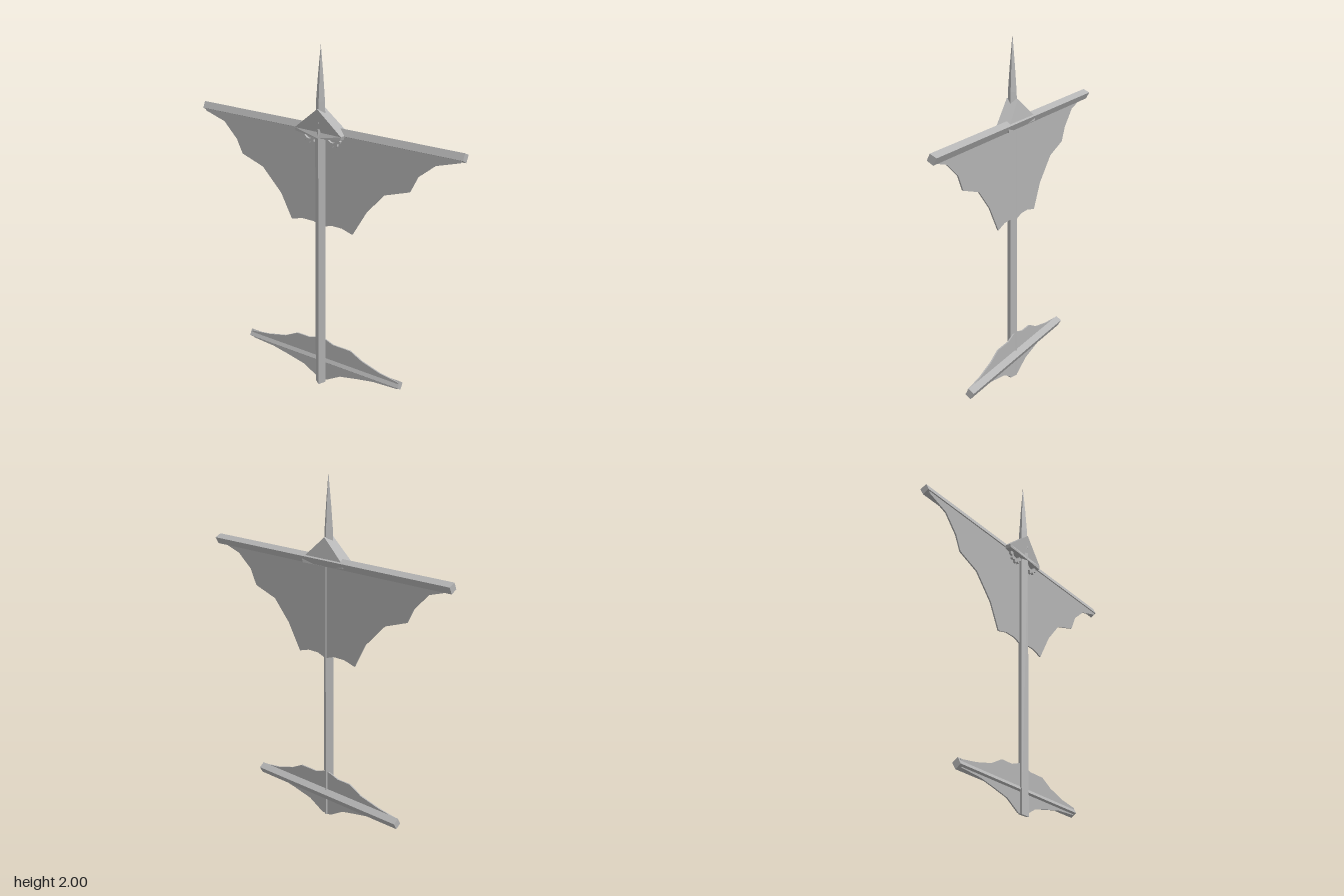
import * as THREE from 'three';

const metal = new THREE.MeshStandardMaterial({ color: 0xb4b4b4, flatShading: true });
metal.name = 'plain grey';

function add(group, name, geometry) {
  const mesh = new THREE.Mesh(geometry, metal);
  mesh.name = name;
  group.add(mesh);
  return mesh;
}

// Closed solid through rings of [x, y, z], each counter-clockwise about the sweep direction
function loft(rings) {
  const pos = [];
  const tri = (...pts) => pts.forEach((p) => pos.push(...p));
  const n = rings[0].length;
  for (let r = 0; r < rings.length - 1; r++) {
    for (let i = 0; i < n; i++) {
      const j = (i + 1) % n, a = rings[r], b = rings[r + 1];
      tri(a[i], a[j], b[j]);
      tri(a[i], b[j], b[i]);
    }
  }
  const first = rings[0], last = rings[rings.length - 1];
  for (let i = 1; i < n - 1; i++) {
    tri(first[0], first[i + 1], first[i]);
    tri(last[0], last[i], last[i + 1]);
  }
  const g = new THREE.BufferGeometry();
  g.setAttribute('position', new THREE.Float32BufferAttribute(pos, 3));
  g.computeVertexNormals();
  return g;
}

// Thin plate cut from an outline
function plate(points, depth, z) {
  const shape = new THREE.Shape(points.map(([x, y]) => new THREE.Vector2(x, y)));
  const g = new THREE.ExtrudeGeometry(shape, { depth, bevelEnabled: false });
  return g.translate(0, 0, z);
}

// Horizontal bar of tilted square section; section holds [y, z] pairs
function bar(x0, x1, section) {
  return loft([x0, x1].map((x) => section.map(([y, z]) => [x, y, z])));
}

// Half-gear ring with square teeth
function gear(outer, inner, teeth) {
  const pts = [];
  for (let i = 0; i < teeth; i++) {
    [[0.0, 0.8], [0.2, 1], [0.55, 1], [0.75, 0.8]].forEach(([t, k]) => {
      const a = ((i + t) / teeth) * Math.PI * 2;
      pts.push(new THREE.Vector2(Math.cos(a) * outer * k, Math.sin(a) * outer * k));
    });
  }
  const shape = new THREE.Shape(pts);
  shape.holes.push(new THREE.Path().absarc(0, 0, inner, 0, Math.PI * 2, true));
  return new THREE.ExtrudeGeometry(shape, { depth: 0.014, bevelEnabled: false, curveSegments: 10 });
}

export function createModel() {
  const model = new THREE.Group();
  model.name = 'wingedStandard';

  // Long shaft with a kite-shaped section and a slanted foot
  const shaft = [[0.005, 0.045], [0.03, 0.012], [-0.005, -0.012], [-0.03, 0.025]];
  const foot = [0, 0.01, 0.02, 0.01];
  add(model, 'shaft', loft([
    shaft.map(([x, z], i) => [x, foot[i], z]),
    shaft.map(([x, z]) => [x, 1.55, z]),
  ]));

  // Four-sided spear point
  const ring = (y, s) => shaft.map(([x, z]) => [x * s, y, 0.014 + (z - 0.015) * s]);
  add(model, 'spearPoint', loft([ring(1.58, 0.95), ring(1.7, 0.85), ring(1.84, 0.5), ring(2, 0.01)]));

  // Cross bars
  add(model, 'upperBar', bar(-0.858, 0.855, [[1.563, -0.012], [1.527, 0.005], [1.507, -0.03], [1.545, -0.05]]));
  add(model, 'lowerBar', bar(-0.54, 0.53, [[0.18, -0.004], [0.143, 0.016], [0.12, -0.015], [0.157, -0.036]]));

  // Gabled head block, thicker along its middle
  const head = plate(
    [[-0.16, 1.535], [-0.155, 1.517], [0, 1.502], [0.14, 1.508], [0.146, 1.53], [0, 1.662]], 1, 0);
  const p = head.attributes.position;
  for (let i = 0; i < p.count; i++) {
    const front = p.getZ(i) > 0.5, side = Math.abs(p.getX(i)) > 0.1;
    p.setZ(i, front ? (side ? 0.035 : 0.048) : (side ? -0.042 : -0.018));
  }
  head.computeVertexNormals();
  add(model, 'headBlock', head);

  // Toothed ornaments below the head
  for (const side of [-1, 1]) {
    const g = add(model, side < 0 ? 'rightGear' : 'leftGear', gear(0.056, 0.03, 10));
    g.position.set(side * 0.077, 1.512, 0.006);
  }

  // Scalloped wing membrane hanging from the upper bar
  add(model, 'wingMembrane', plate([
    [-0.845, 1.525], [-0.84, 1.512], [-0.7, 1.47], [-0.61, 1.38], [-0.57, 1.3], [-0.42, 1.25],
    [-0.29, 1.12], [-0.215, 0.98], [-0.14, 1.0], [-0.06, 1.0], [0, 0.98], [0.06, 1.0], [0.13, 1.0],
    [0.2, 0.98], [0.29, 1.13], [0.4, 1.25], [0.555, 1.3], [0.6, 1.39], [0.7, 1.47],
    [0.84, 1.512], [0.845, 1.525],
  ], 0.008, -0.008));

  // Tail membrane around the lower bar
  add(model, 'tailMembrane', plate([
    [-0.53, 0.172], [-0.52, 0.13], [-0.36, 0.12], [-0.25, 0.1], [-0.13, 0.075], [-0.03, 0.02],
    [0.03, 0.02], [0.13, 0.075], [0.25, 0.1], [0.36, 0.12], [0.52, 0.13], [0.525, 0.172],
    [0.4, 0.19], [0.28, 0.225], [0.2, 0.265], [0.08, 0.265], [0.015, 0.288], [-0.02, 0.288],
    [-0.09, 0.265], [-0.18, 0.265], [-0.27, 0.22], [-0.4, 0.19],
  ], 0.008, -0.003));

  return model;
}
